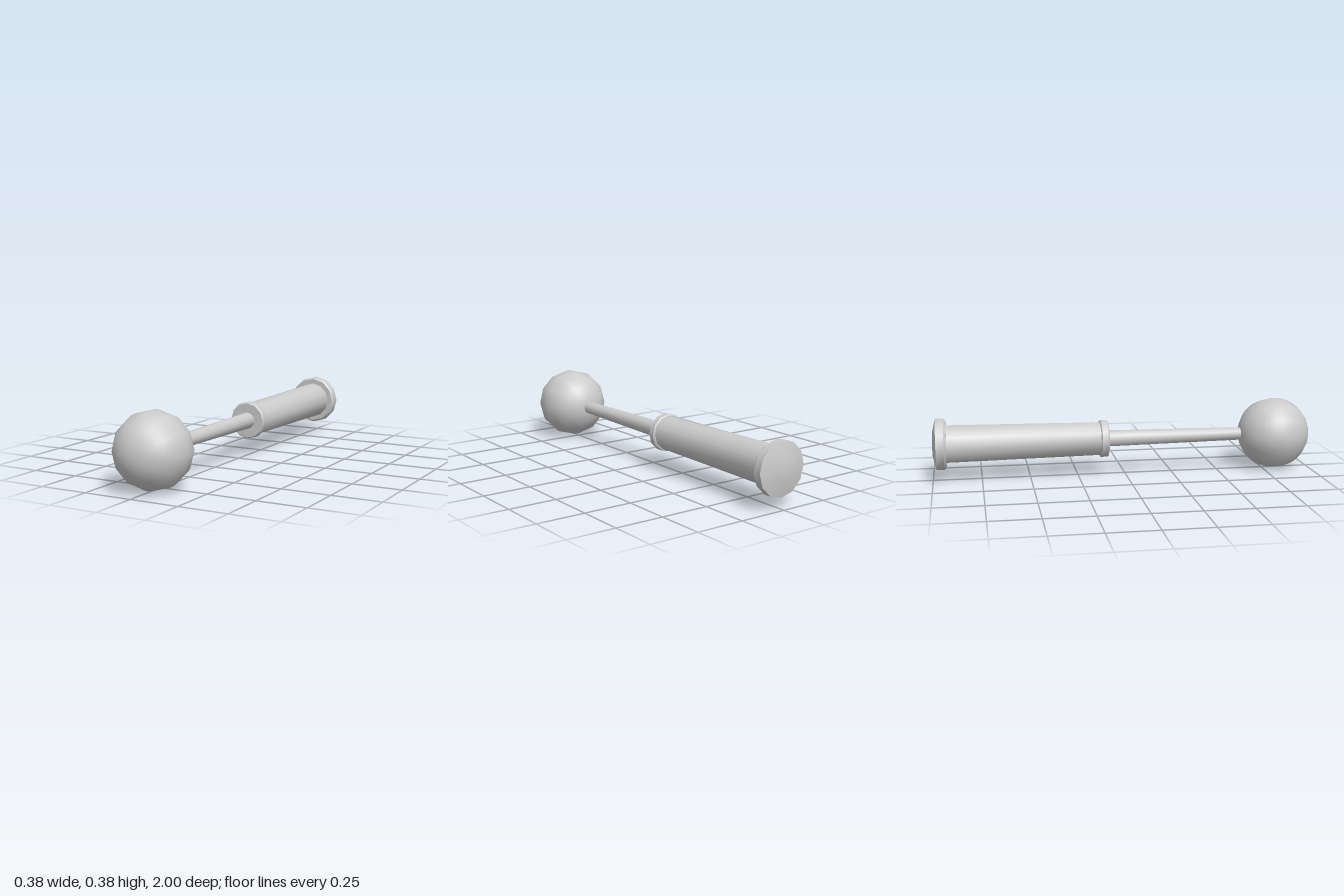
import * as THREE from 'three';
import { toCreasedNormals } from 'three/addons/utils/BufferGeometryUtils.js';

const SIDES = 12;
const AXIS_Y = 0.191;

export function createModel() {
  const model = new THREE.Group();
  const material = new THREE.MeshStandardMaterial({ color: 0xcccccc });

  function add(name, geometry) {
    const mesh = new THREE.Mesh(geometry, material);
    mesh.name = name;
    mesh.position.y = AXIS_Y;
    model.add(mesh);
    return mesh;
  }

  // Turned part along z, from [radius, z] pairs ordered back to front
  function turned(name, profile) {
    const points = profile.map(([r, z]) => new THREE.Vector2(r, z));
    const geometry = new THREE.LatheGeometry(points, SIDES).rotateX(Math.PI / 2);
    return add(name, toCreasedNormals(geometry, 0.6));
  }

  // Ball head, poles on the shaft axis
  const ball = add('ballHead', new THREE.SphereGeometry(0.189, SIDES, 24).rotateX(Math.PI / 2));
  ball.position.z = 0.811;

  // Slender shaft, narrowing towards the ball
  turned('shaft', [[0, -0.12], [0.044, -0.12], [0.033, 0.66], [0, 0.66]]);

  // Collar where the shaft enters the grip
  turned('collar', [[0, -0.134], [0.092, -0.134], [0.099, -0.129], [0.099, -0.098], [0.093, -0.092], [0, -0.092]]);

  // Tapered grip
  turned('grip', [[0, -0.94], [0.099, -0.94], [0.088, -0.12], [0, -0.12]]);

  // Flanged pommel with a shallow domed end
  turned('pommel', [[0, -1], [0.063, -0.997], [0.135, -0.98], [0.135, -0.94], [0.126, -0.929], [0, -0.929]]);

  return model;
}
